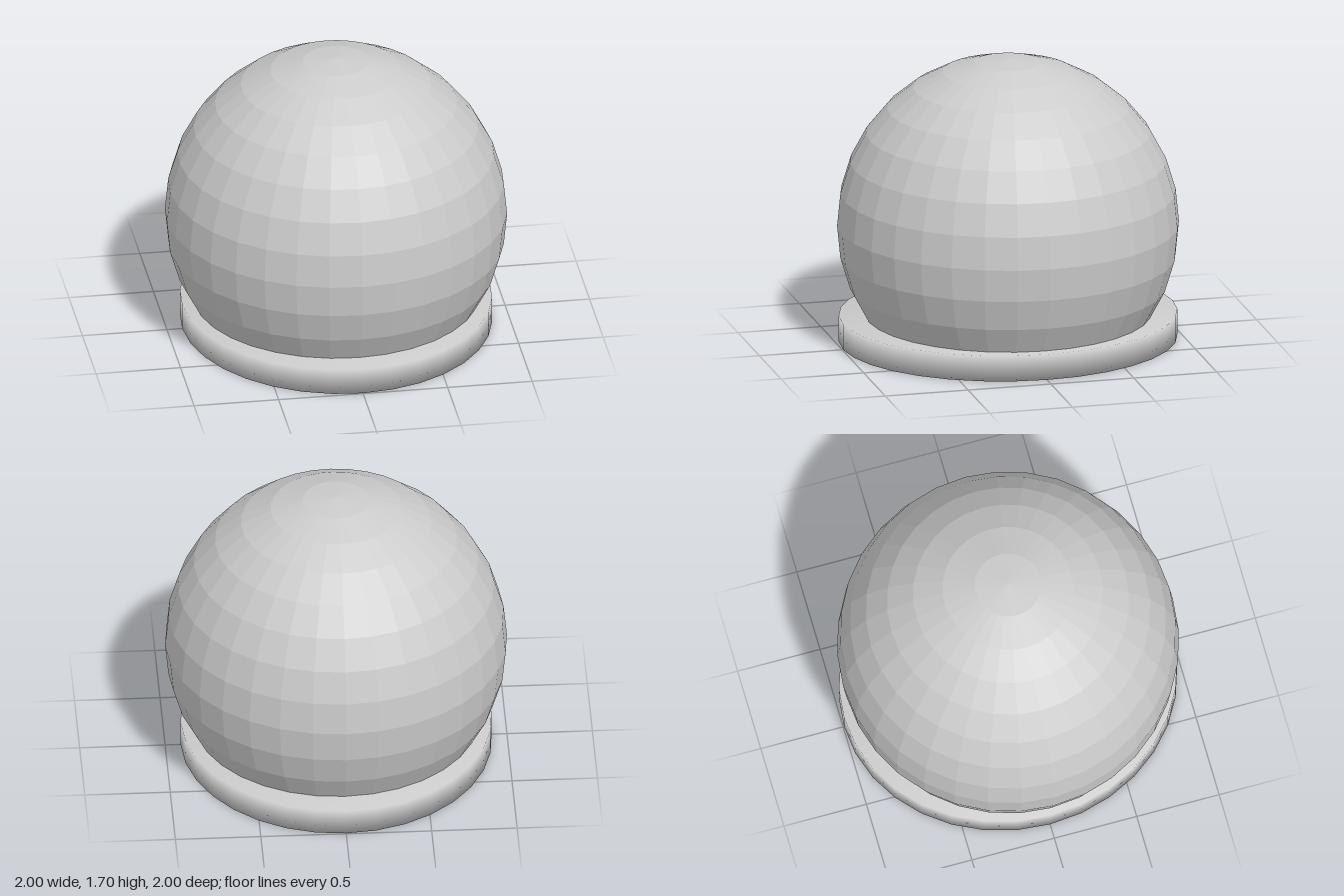
import * as THREE from 'three';
import { mergeVertices } from 'three/addons/utils/BufferGeometryUtils.js';

const SIDES = 32;

export function createModel() {
  const group = new THREE.Group();

  // Faceted globe, open where it sinks just below the top of the base
  const rings = 11;
  const globe = new THREE.Mesh(
    new THREE.SphereGeometry(1, SIDES, rings, 0, Math.PI * 2, 0, (rings * Math.PI) / 16),
    new THREE.MeshStandardMaterial({ color: 0xcccccc, flatShading: true, side: THREE.DoubleSide })
  );
  globe.name = 'globe';
  globe.position.y = 0.697;
  group.add(globe);

  // Oval base disc, with normals smoothed over its rim
  const height = 0.155;
  let disc = new THREE.CylinderGeometry(1, 1, height, SIDES);
  disc.deleteAttribute('normal');
  disc.deleteAttribute('uv');
  disc = mergeVertices(disc);
  disc.scale(0.91, 1, 0.995);
  disc.computeVertexNormals();
  const base = new THREE.Mesh(disc, new THREE.MeshStandardMaterial({ color: 0xcccccc }));
  base.name = 'base';
  base.position.y = height / 2;
  group.add(base);

  return group;
}
